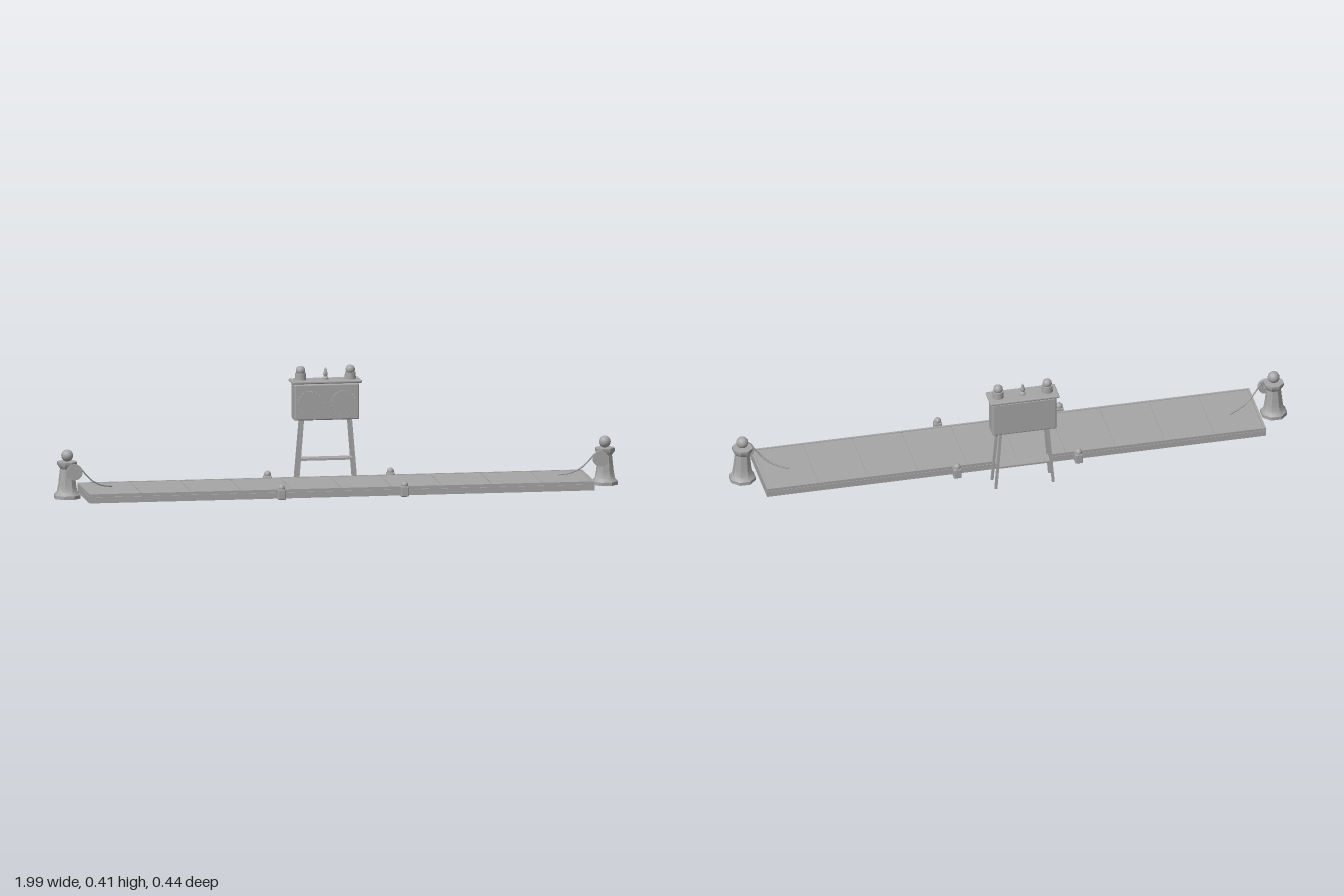
import * as THREE from 'three';
import { RoundedBoxGeometry } from 'three/addons/geometries/RoundedBoxGeometry.js';
import { toCreasedNormals } from 'three/addons/utils/BufferGeometryUtils.js';

const grey = new THREE.MeshStandardMaterial({ color: 0xa6a6a6 });
grey.name = 'plain grey';

function add(parent, name, geometry, x = 0, y = 0, z = 0) {
  const mesh = new THREE.Mesh(geometry, grey);
  mesh.name = name;
  mesh.position.set(x, y, z);
  parent.add(mesh);
  return mesh;
}
const box = (w, h, d) => new THREE.BoxGeometry(w, h, d);
const rounded = (w, h, d, r) => new RoundedBoxGeometry(w, h, d, 2, r);
const ball = (r) => new THREE.SphereGeometry(r, 20, 14);
const lathe = (points, sides) => toCreasedNormals(
  new THREE.LatheGeometry(points.map(([r, y]) => new THREE.Vector2(r, y)), sides), 0.6);

// Square bar whose ends are centred on two points
function bar(parent, name, from, to, width) {
  const a = new THREE.Vector3(...from), b = new THREE.Vector3(...to);
  const mid = a.clone().add(b).multiplyScalar(0.5);
  const mesh = add(parent, name, box(width, a.distanceTo(b), width), mid.x, mid.y, mid.z);
  mesh.quaternion.setFromUnitVectors(new THREE.Vector3(0, 1, 0), b.sub(a).normalize());
}

// Long platform with a raised rim and separate deck panels
function buildPlatform() {
  const g = new THREE.Group();
  g.name = 'platform';
  const L = 1.79, W = 0.266, zc = 0.05;
  add(g, 'platformBase', box(L, 0.021, W), 0, 0.0105, zc);
  add(g, 'platformCore', box(L - 0.008, 0.008, W - 0.008), 0, 0.024, zc);
  for (const s of [-1, 1]) {
    add(g, 'sideRim', box(L, 0.01, 0.008), 0, 0.027, zc + s * (W / 2 - 0.004));
    add(g, 'endRim', box(0.008, 0.01, W - 0.016), s * (L / 2 - 0.004), 0.027, zc);
  }
  const count = 10, span = (L - 0.016) / count;
  for (let i = 0; i < count; i++) {
    add(g, 'deckPanel', box(span - 0.002, 0.004, W - 0.018),
      (i - (count - 1) / 2) * span, 0.0288, zc);
  }
  return g;
}

// Small marker posts beside the platform
function buildMarker(x, z) {
  const g = new THREE.Group();
  g.name = 'markerPost';
  g.position.set(x, 0, z);
  add(g, 'markerBlock', rounded(0.028, 0.037, 0.028, 0.004), 0, 0.0185, 0);
  add(g, 'markerKnob', ball(0.0125), 0, 0.041, 0);
  return g;
}

// End bollard with a cable reel and a cable falling to the deck
function buildBollard(side) {
  const g = new THREE.Group();
  g.name = side > 0 ? 'leftBollard' : 'rightBollard';
  const cx = side * 0.953, cz = 0.052;
  const body = lathe([[0, 0], [0.048, 0], [0.048, 0.012], [0.037, 0.024], [0.032, 0.05],
    [0.026, 0.105], [0.036, 0.119], [0.036, 0.13], [0, 0.13]], 8);
  body.rotateY(Math.PI / 8);
  add(g, 'bollardBody', body, cx, 0, cz);
  add(g, 'bollardKnob', ball(0.021), cx, 0.151, cz);
  const reel = new THREE.CylinderGeometry(0.028, 0.028, 0.012, 24).rotateX(Math.PI / 2);
  add(g, 'cableReel', reel, side * 0.932, 0.096, 0.085);
  const hub = new THREE.CylinderGeometry(0.01, 0.01, 0.02, 12).rotateX(Math.PI / 2);
  add(g, 'reelHub', hub, side * 0.932, 0.096, 0.074);
  const path = new THREE.CatmullRomCurve3([[0.912, 0.112, 0.076], [0.89, 0.085, 0.07],
    [0.865, 0.06, 0.06], [0.83, 0.042, 0.046], [0.79, 0.034, 0.028]]
    .map(([x, y, z]) => new THREE.Vector3(side * x, y, z)));
  add(g, 'cable', new THREE.TubeGeometry(path, 24, 0.0028, 6));
  return g;
}

// Cabinet on four splayed legs, with two dials and lamps
function buildCabinet() {
  const g = new THREE.Group();
  g.name = 'cabinet';
  const zc = -0.178;
  add(g, 'cabinetBody', rounded(0.23, 0.128, 0.067, 0.006), 0, 0.284, zc);
  add(g, 'lidNeck', box(0.21, 0.01, 0.055), 0, 0.347, zc);
  add(g, 'cabinetLid', rounded(0.248, 0.01, 0.083, 0.004), 0, 0.355, zc);
  for (const s of [-1, 1]) {
    // Lamp on the lid
    add(g, 'lampBase', new THREE.CylinderGeometry(0.019, 0.02, 0.025, 20), s * 0.088, 0.3715, zc);
    add(g, 'lampGlobe', ball(0.0165), s * 0.088, 0.393, zc);
    // Dial with a segmented rim
    const dial = new THREE.Group();
    dial.name = 'dial';
    dial.position.set(s * 0.059, 0.28, -0.142);
    g.add(dial);
    add(dial, 'dialFace', new THREE.CylinderGeometry(0.041, 0.041, 0.008, 32).rotateX(Math.PI / 2));
    for (let i = 0; i < 20; i++) {
      const a = i / 20 * Math.PI * 2;
      add(dial, 'dialTick', box(0.006, 0.01, 0.008),
        Math.cos(a) * 0.042, Math.sin(a) * 0.042, 0.002).rotation.z = a;
    }
    add(g, 'dialStud', box(0.007, 0.014, 0.007), s * 0.045, 0.23, -0.143);
    // Legs
    for (const t of [-1, 1]) {
      bar(g, 'leg', [s * 0.103, 0.001, zc + t * 0.03], [s * 0.085, 0.223, zc + t * 0.026], 0.009);
    }
  }
  add(g, 'shelf', box(0.19, 0.007, 0.048), 0, 0.08, zc);
  add(g, 'finial', lathe([[0, 0], [0.011, 0], [0.011, 0.006], [0.006, 0.012],
    [0.008, 0.02], [0.005, 0.034], [0, 0.046]], 12), 0, 0.359, zc);
  return g;
}

export function createModel() {
  const model = new THREE.Group();
  model.name = 'platformWithCabinet';
  model.add(buildPlatform(), buildCabinet());
  for (const s of [-1, 1]) {
    model.add(buildBollard(s));
    for (const z of [-0.102, 0.205]) model.add(buildMarker(s * 0.218, z));
  }
  return model;
}
